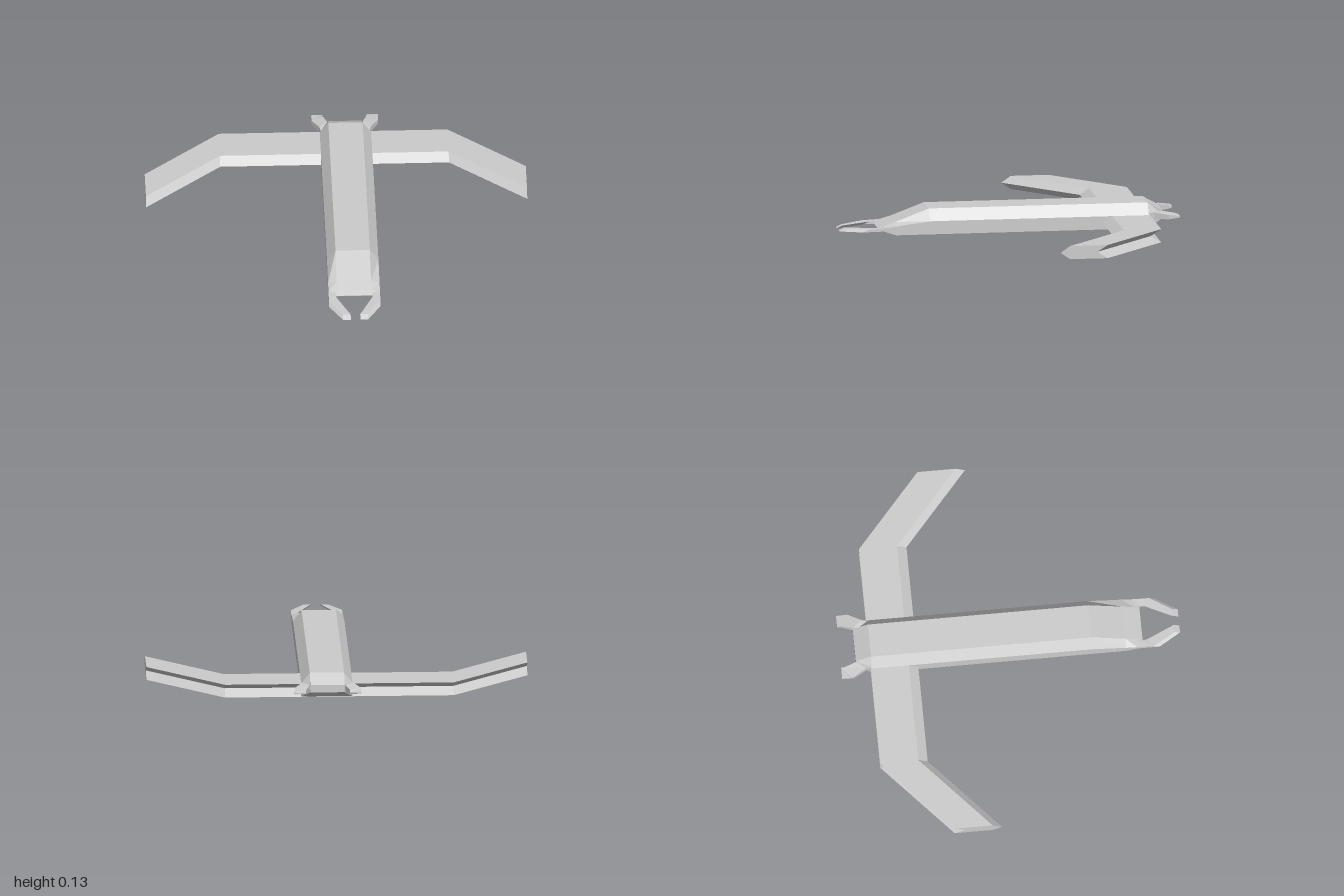
import * as THREE from 'three';

const material = new THREE.MeshStandardMaterial({ color: 0xcccccc, flatShading: true });
const CENTRE = 0.065; // the hull sits slightly off the wing's centre line

// Skin a row of cross-sections (rings of [x, y, z]) and cap both ends.
function loft(name, rings) {
  const out = [];
  const tri = (a, b, c) => out.push(...a, ...b, ...c);
  const n = rings[0].length;
  for (let r = 0; r < rings.length - 1; r++) {
    const a = rings[r], b = rings[r + 1];
    for (let i = 0; i < n; i++) {
      const j = (i + 1) % n;
      tri(a[i], a[j], b[j]);
      tri(a[i], b[j], b[i]);
    }
  }
  const first = rings[0], last = rings[rings.length - 1];
  for (let i = 1; i < n - 1; i++) {
    tri(first[0], first[i + 1], first[i]);
    tri(last[0], last[i], last[i + 1]);
  }
  const geometry = new THREE.BufferGeometry();
  geometry.setAttribute('position', new THREE.Float32BufferAttribute(out, 3));
  geometry.computeVertexNormals();
  const mesh = new THREE.Mesh(geometry, material);
  mesh.name = name;
  return mesh;
}

// Reflect rings across the hull's centre line, keeping faces outward.
const mirror = rings => rings.map(ring =>
  ring.map(([x, y, z]) => [2 * CENTRE - x, y, z]).reverse());

// Hull section: bottom, shoulder and top heights with lower and upper half widths.
const hullRing = (z, bottom, shoulder, top, wide = 0.135, narrow = 0.09) => [
  [CENTRE - wide, bottom, z], [CENTRE + wide, bottom, z],
  [CENTRE + wide, shoulder, z], [CENTRE + narrow, top, z],
  [CENTRE - narrow, top, z], [CENTRE - wide, shoulder, z],
];

// Wing section: pointed leading edge, notched trailing edge.
const wingRing = (x, back) => [
  [x, 0.035, back + 0.055], [x, 0.07, back], [x, 0.07, back + 0.2],
  [x, 0.035, back + 0.25], [x, 0, back + 0.2], [x, 0, back],
];

// Four-cornered section; the lower edge may lie further forward than the upper.
const barRing = (outX, outZ, inX, inZ, low, high, rake = 0) => [
  [outX, low, outZ + rake], [inX, low, inZ + rake],
  [inX, high, inZ], [outX, high, outZ],
];

export function createModel() {
  const group = new THREE.Group();
  group.name = 'glider';

  // Long hull with tapered nose and tail
  group.add(loft('hull', [
    hullRing(-0.82, 0.045, 0.06, 0.085, 0.09, 0.09),
    hullRing(-0.74, 0, 0.07, 0.13),
    hullRing(0.42, 0, 0.07, 0.13),
    hullRing(0.6, 0, 0.047, 0.063),
    hullRing(0.66, 0.02, 0.037, 0.042),
    hullRing(0.69, 0.028, 0.029, 0.03, 0.09, 0.09),
  ]));

  // Swept wing running through the hull
  group.add(loft('wing', [
    wingRing(-1, -0.39), wingRing(-0.6, -0.745),
    wingRing(0.6, -0.745), wingRing(1, -0.4),
  ]));

  // Curved prongs at the nose
  const prong = [
    barRing(-0.07, 0.6, -0.03, 0.6, 0.015, 0.045),
    barRing(-0.07, 0.66, -0.03, 0.66, 0.022, 0.038),
    barRing(-0.07, 0.745, -0.03, 0.71, 0.02, 0.034, 0.03),
    barRing(0, 0.86, 0.04, 0.86, 0.016, 0.03, 0.03),
  ];
  group.add(loft('rightProng', prong), loft('leftProng', mirror(prong)));

  // Small splayed fins at the tail
  const fin = [
    barRing(-0.11, -0.9, -0.05, -0.9, 0.06, 0.068),
    barRing(-0.11, -0.84, -0.05, -0.88, 0.052, 0.075),
    barRing(-0.07, -0.77, -0.03, -0.82, 0.048, 0.083),
    barRing(-0.06, -0.72, -0.02, -0.74, 0.05, 0.075),
  ];
  group.add(loft('rightTailFin', fin), loft('leftTailFin', mirror(fin)));

  return group;
}
